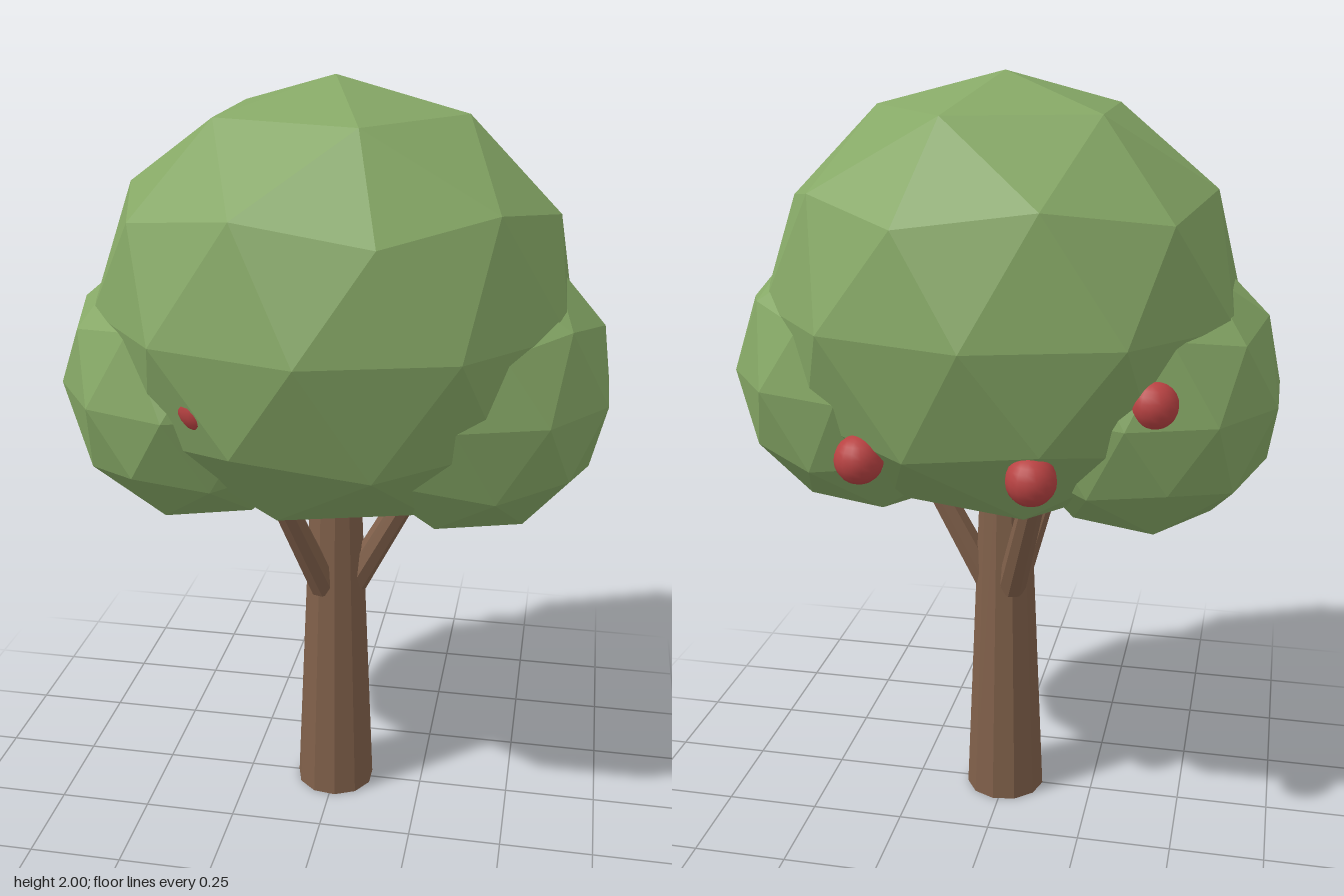
import * as THREE from 'three';

const leafMat = new THREE.MeshStandardMaterial({ color: 0x86a866, flatShading: true });
const barkMat = new THREE.MeshStandardMaterial({ color: 0x80604a, flatShading: true });
const fruitMat = new THREE.MeshStandardMaterial({ color: 0xb84242 });

function addMesh(parent, name, geometry, material) {
  const mesh = new THREE.Mesh(geometry, material);
  mesh.name = name;
  parent.add(mesh);
  return mesh;
}

// Faceted ellipsoid of leaves with one corner of the icosahedron pointing up
function leafBall(parent, name, center, radii) {
  const geo = new THREE.IcosahedronGeometry(1, 1);
  geo.rotateZ(-Math.atan(2 / (1 + Math.sqrt(5))));
  geo.scale(...radii);
  geo.computeVertexNormals();
  addMesh(parent, name, geo, leafMat).position.set(...center);
}

// Tapered limb between two points
function limb(parent, name, from, to, r0, r1, sides) {
  const dir = to.clone().sub(from);
  const geo = new THREE.CylinderGeometry(r1, r0, dir.length(), sides);
  const mesh = addMesh(parent, name, geo, barkMat);
  mesh.position.copy(from).add(to).multiplyScalar(0.5);
  mesh.quaternion.setFromUnitVectors(new THREE.Vector3(0, 1, 0), dir.normalize());
  return mesh;
}

export function createModel() {
  const tree = new THREE.Group();
  tree.name = 'tree';

  // Trunk, with a corner facing -x
  const trunkGeo = new THREE.CylinderGeometry(0.066, 0.109, 1, 11);
  trunkGeo.rotateY(-Math.PI / 2);
  addMesh(tree, 'trunk', trunkGeo, barkMat).position.y = 0.5;

  // Three branches fanning out into the crown
  for (let i = 0; i < 3; i++) {
    const a = (i * Math.PI * 2) / 3;
    const at = (r, y) => new THREE.Vector3(r * Math.cos(a), y, r * Math.sin(a));
    limb(tree, 'branch' + (i + 1), at(0.05, 0.638), at(0.27, 1.05), 0.04, 0.03, 8);
  }

  // Foliage
  leafBall(tree, 'crown', [0, 1.4225, 0], [0.625, 0.5775, 0.545]);
  leafBall(tree, 'leftFoliage', [0.35, 1.233, 0], [0.372, 0.39, 0.374]);
  leafBall(tree, 'rightFoliage', [-0.36, 1.215, 0], [0.366, 0.387, 0.39]);

  // Fruit, two standing out at the back and two nearly buried in the leaves
  const fruitGeo = new THREE.SphereGeometry(0.062, 16, 12);
  const spots = [
    [0.29, 1.1, -0.375],
    [-0.15, 1.1, -0.44],
    [-0.25, 1.27, 0.39],
    [-0.42, 1.27, -0.33],
  ];
  spots.forEach((p, i) => addMesh(tree, 'fruit' + (i + 1), fruitGeo, fruitMat).position.set(...p));

  return tree;
}
